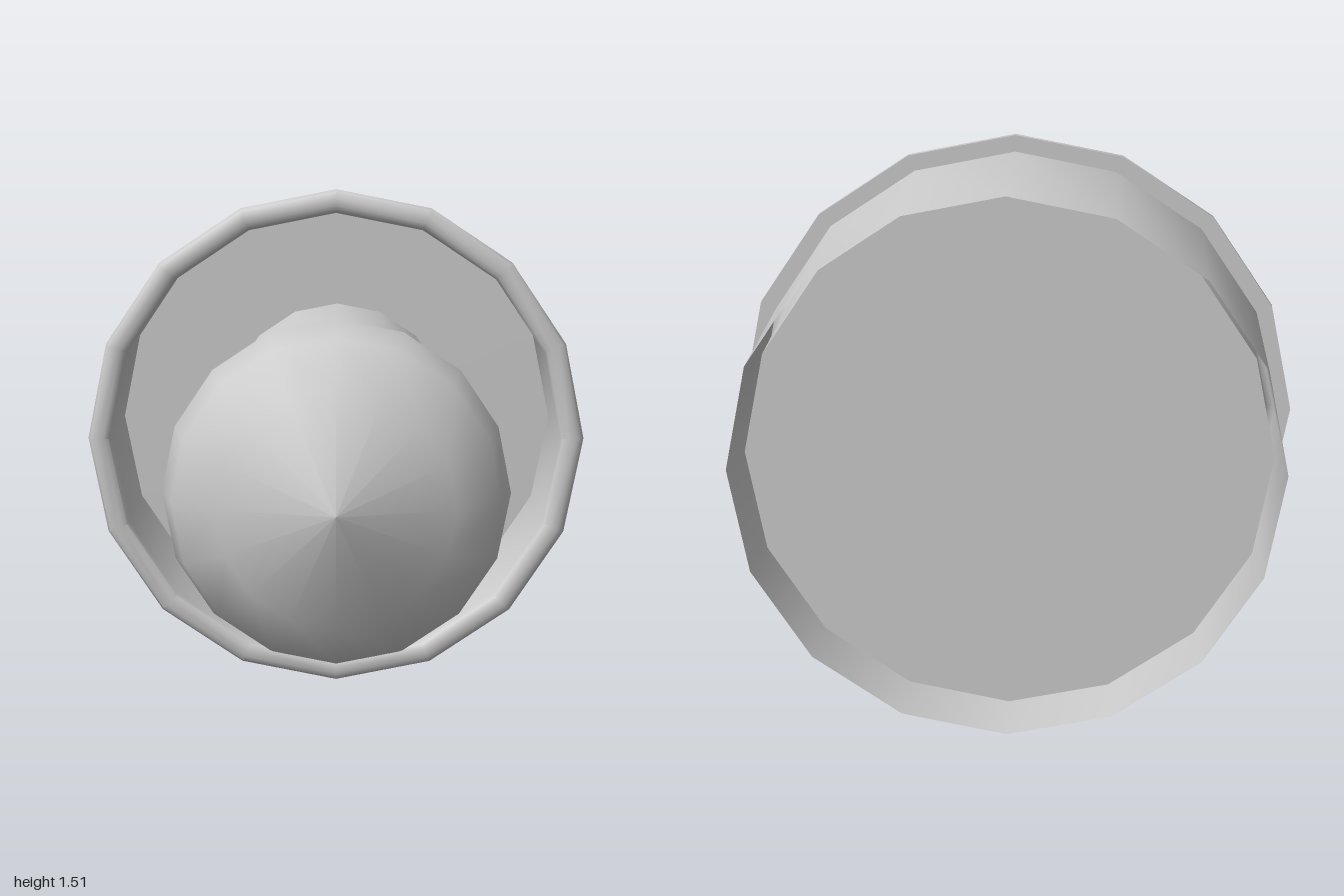
import * as THREE from 'three';
import { toCreasedNormals } from 'three/addons/utils/BufferGeometryUtils.js';

const SIDES = 16;
const material = new THREE.MeshStandardMaterial({ color: 0xcccccc, side: THREE.DoubleSide });

// Turns a [radius, z] profile about the z axis
function turned(name, profile, crease) {
  let geometry = new THREE.LatheGeometry(profile.map(([r, z]) => new THREE.Vector2(r, z)), SIDES);
  if (crease) geometry = toCreasedNormals(geometry, Math.PI / 4.2);
  geometry.rotateX(Math.PI / 2);
  const mesh = new THREE.Mesh(geometry, material);
  mesh.name = name;
  return mesh;
}

export function createModel() {
  const group = new THREE.Group();
  group.name = 'doorKnob';

  // Open-backed cup with a rounded front lip and a recessed floor
  const cup = turned('mountingCup', [
    [0.71, -1], [0.71, -0.385],
    [0.755, -0.385], [0.755, -0.365], [0.748, -0.348], [0.732, -0.34],
    [0.708, -0.34], [0.692, -0.348], [0.685, -0.365],
    [0.685, -0.84], [0, -0.84],
  ], true);
  cup.position.y = 0.755;

  // Sleeve with a shallow socket in its front end
  const sleeve = turned('sleeve', [
    [0.357, -0.84], [0.357, -0.02], [0.31, -0.02], [0.31, -0.1], [0, -0.1],
  ], true);
  sleeve.position.set(0.003, 0.763, 0);

  // Smooth knob flowing into its neck
  const knob = turned('knob', [
    [0.225, -0.1], [0.23, 0], [0.255, 0.18], [0.325, 0.315], [0.437, 0.46],
    [0.463, 0.645], [0.43, 0.785], [0.31, 0.905], [0, 1],
  ], false);
  knob.position.set(0.005, 0.763, 0);

  group.add(cup, sleeve, knob);
  return group;
}
